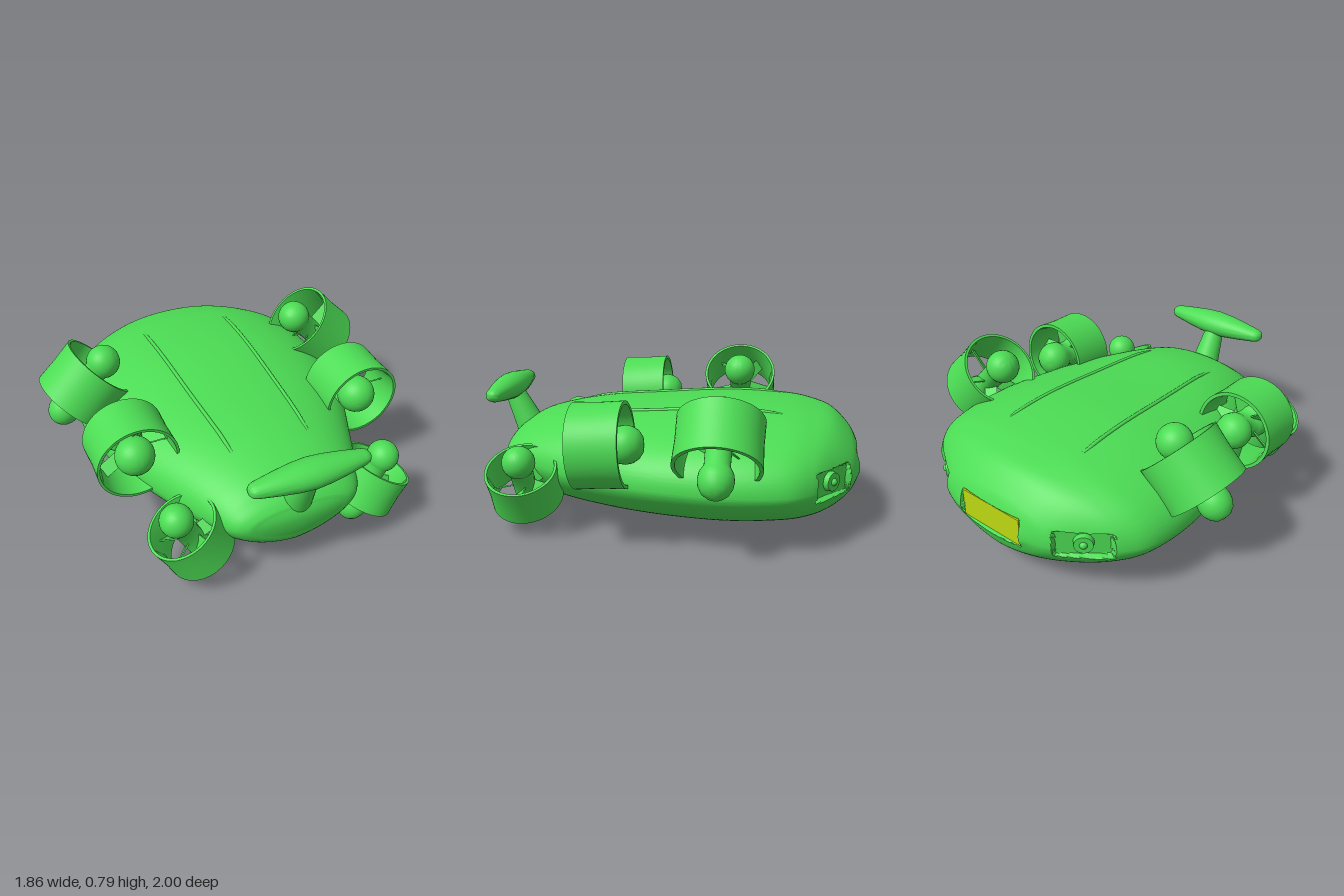
import * as THREE from 'three';
import { toCreasedNormals } from 'three/addons/utils/BufferGeometryUtils.js';

const V = (x, y, z) => new THREE.Vector3(x, y, z);
const clamp01 = (v) => Math.min(1, Math.max(0, v));
const green = new THREE.MeshStandardMaterial({ color: 0x4cdc54 });
const yellow = new THREE.MeshStandardMaterial({ color: 0xbcd810 });

// Hull stations, nose to tail: z, half width, top, bottom
const stations = [
  [0.868, 0.22, 0.4, 0.235], [0.855, 0.285, 0.425, 0.195], [0.81, 0.345, 0.465, 0.145],
  [0.7, 0.41, 0.525, 0.085], [0.45, 0.53, 0.58, 0.035], [0.1, 0.675, 0.605, 0.01],
  [-0.3, 0.74, 0.63, 0], [-0.6, 0.718, 0.62, 0.02], [-0.75, 0.635, 0.6, 0.04],
  [-0.86, 0.495, 0.565, 0.075], [-0.95, 0.355, 0.48, 0.15], [-0.99, 0.24, 0.41, 0.23],
  [-1, 0.2, 0.38, 0.26],
];
const curve = (pts) => new THREE.CatmullRomCurve3(pts, false, 'catmullrom', 0.5);
const heights = curve(stations.map(([z, , t, b]) => V(z, t, b)));
const widths = curve(stations.map(([z, w]) => V(z, w, 0)));
const UPPER = 2.15, LOWER = 1.67;
// Height of the widest line, rising a little at the nose
const midY = (z) => 0.31 + 0.025 * clamp01((z - 0.5) / 0.37);

// Height of the hull's upper surface
function deckY(x, z) {
  let lo = 0, hi = 1;
  for (let i = 0; i < 30; i++) {
    const u = (lo + hi) / 2;
    if (heights.getPoint(u).x > z) lo = u; else hi = u;
  }
  const k = Math.min(1, Math.abs(x) / widths.getPoint(lo).y), mid = midY(z);
  return mid + (heights.getPoint(lo).y - mid) * Math.pow(1 - Math.pow(k, UPPER), 1 / UPPER);
}

// Recesses in the hull: rear window, and a slanted lamp pocket on each rear corner
const NX = 0.633, NZ = -0.774, POCKET = 0.935;
function carve(p) {
  const s = Math.sign(p.x), ax = Math.abs(p.x);
  const inWindow = clamp01((0.083 - Math.abs(p.y - 0.33)) / 0.008) * clamp01((0.198 - ax) / 0.008);
  if (p.z < -0.972) p.z += inWindow * (-0.972 - p.z);
  const out = Math.max(0, ax * NX + p.z * NZ - POCKET);
  const along = ax * -NZ + p.z * NX + 0.175;
  const inPocket = clamp01((0.074 - Math.abs(p.y - 0.325)) / 0.008) * clamp01((0.142 - Math.abs(along)) / 0.008);
  p.x -= s * out * NX * inPocket;
  p.z -= out * NZ * inPocket;
}

function hullGeometry() {
  const rings = [], M = 180, N = 160;
  for (let i = 0; i < 10; i++) rings.push([0, Math.max(0.001, i / 10)]);
  for (let i = 0; i <= N; i++) rings.push([1 - Math.pow(1 - i / N, 1.4), 1]);
  for (let i = 9; i >= 0; i--) rings.push([1, Math.max(0.001, i / 10)]);
  const pos = [], index = [];
  rings.forEach(([u, s], i) => {
    const h = heights.getPoint(u), w = widths.getPoint(u).y, mid = midY(h.x);
    const bulge = u === 0 ? 0.016 * (1 - s * s) : 0;
    for (let j = 0; j < M; j++) {
      // Vertices gather towards the flanks
      const t = (j / M) * Math.PI * 2, a = t - 0.3 * Math.sin(2 * t);
      const c = Math.cos(a), n = Math.sin(a), e = 2 / (n > 0 ? UPPER : LOWER);
      const p = V(
        s * w * Math.sign(c) * Math.pow(Math.abs(c), e),
        mid + s * (n > 0 ? h.y - mid : mid - h.z) * Math.sign(n) * Math.pow(Math.abs(n), e),
        h.x + bulge);
      carve(p);
      pos.push(p.x, p.y, p.z);
      if (i < rings.length - 1) {
        const A = i * M + j, B = i * M + (j + 1) % M;
        index.push(A, A + M, B, B, A + M, B + M);
      }
    }
  });
  const g = new THREE.BufferGeometry();
  g.setAttribute('position', new THREE.Float32BufferAttribute(pos, 3));
  g.setIndex(index);
  return toCreasedNormals(g, 0.6);
}

function add(parent, name, geometry, material = green) {
  const mesh = new THREE.Mesh(geometry, material);
  mesh.name = name;
  parent.add(mesh);
  return mesh;
}

const lathe = (pts, seg = 48) =>
  toCreasedNormals(new THREE.LatheGeometry(pts.map(([r, y]) => new THREE.Vector2(r, y)), seg), 0.7);

// Ducted propeller, its axis along dir; head and tail are hub reaches from the duct's middle
function thruster(name, { r, length, hubR, head, tail }, at, dir) {
  const g = new THREE.Group(), h = length / 2;
  g.name = name;
  add(g, 'duct', lathe([
    [r - 0.018, -h], [r, -h], [r - 0.004, 0], [r, h], [r - 0.014, h], [r - 0.028, 0], [r - 0.018, -h],
  ], 56));
  // Motor hub: blunt swollen tail, slim neck, round head
  const t = hubR * 0.95;
  const hub = [
    [0, -tail], [t * 0.45, -tail + 0.008], [t * 0.75, -tail + 0.028], [t * 0.94, -tail + 0.06],
    [t, -tail + 0.09], [t * 0.94, -tail + 0.125], [t * 0.72, -tail + 0.16],
  ];
  for (let i = 4; i <= 16; i++) {
    const a = (i / 16) * Math.PI;
    hub.push([hubR * Math.sin(a), head - hubR * Math.cos(a)]);
  }
  add(g, 'hub', lathe(hub, 32));
  // Pitched blades
  const span = r - 0.025 - hubR * 0.5;
  for (let i = 0; i < 5; i++) {
    const arm = new THREE.Group();
    arm.rotation.y = (i / 5) * Math.PI * 2;
    const blade = add(arm, 'blade', new THREE.BoxGeometry(span, 0.007, 0.07));
    blade.position.x = hubR * 0.5 + span / 2;
    blade.rotation.x = 0.8;
    g.add(arm);
  }
  g.position.copy(at);
  g.quaternion.setFromUnitVectors(V(0, 1, 0), dir.normalize());
  return g;
}
const rearSize = { r: 0.21, length: 0.255, hubR: 0.09, head: 0.155, tail: 0.275 };
const middleSize = { r: 0.21, length: 0.25, hubR: 0.1, head: 0.06, tail: 0.21 };
const frontSize = { r: 0.183, length: 0.205, hubR: 0.083, head: 0.15, tail: 0.25 };

export function createModel() {
  const model = new THREE.Group();
  add(model, 'hull', hullGeometry());
  add(model, 'rearWindow', new THREE.BoxGeometry(0.38, 0.15, 0.012), yellow).position.set(0, 0.33, -0.976);

  // Sensor mast leaning forward, with a tapered crossbar
  const foot = V(0, 0.38, 0.79), head = V(0, 0.64, 0.91);
  const mast = add(model, 'mast', new THREE.CylinderGeometry(0.05, 0.085, foot.distanceTo(head), 32));
  mast.position.copy(foot).lerp(head, 0.5);
  mast.quaternion.setFromUnitVectors(V(0, 1, 0), head.clone().sub(foot).normalize());
  const half = [[0, 0.31], [0.022, 0.307], [0.036, 0.295], [0.044, 0.275], [0.064, 0.17], [0.078, 0.08], [0.084, 0]];
  const bar = add(model, 'crossbar', lathe(
    [...half.map(([r, y]) => [r, -y]), ...half.slice(0, -1).reverse()], 40));
  bar.rotation.z = Math.PI / 2;
  bar.scale.x = 0.83;
  bar.position.set(0, 0.65, 0.915);

  for (const s of [1, -1]) {
    const side = s > 0 ? 'left' : 'right';
    model.add(
      thruster(side + 'RearThruster', rearSize, V(0.69 * s, 0.555, -0.32), V(-0.7 * s, 0.7, 0)),
      thruster(side + 'MiddleThruster', middleSize, V(0.63 * s, 0.51, 0.25), V(0, -0.06, 1)),
      thruster(side + 'FrontThruster', frontSize, V(0.495 * s, 0.25, 0.69), V(0.48 * s, 0.88, 0)));

    // Thin rail on the deck
    const rail = [];
    for (let i = 0; i <= 10; i++) {
      const z = -0.6 + 1.13 * i / 10, x = 0.25 - 0.042 * (i / 10) ** 1.6;
      rail.push(V(x * s, deckY(x, z) + (i % 10 ? 0 : -0.008), z));
    }
    add(model, side + 'Rail', new THREE.TubeGeometry(new THREE.CatmullRomCurve3(rail), 60, 0.01, 10));

    // Lamp in the rear corner pocket
    const lamp = new THREE.Group();
    lamp.name = side + 'Lamp';
    add(lamp, 'lampBody', new THREE.CylinderGeometry(0.046, 0.05, 0.026, 32)).position.y = 0.012;
    const lens = add(lamp, 'lens', new THREE.SphereGeometry(0.02, 24, 16));
    lens.position.y = 0.02;
    lamp.position.set(0.46 * s, 0.33, -0.837);
    lamp.quaternion.setFromUnitVectors(V(0, 1, 0), V(NX * s, 0, NZ).normalize());
    model.add(lamp);
  }
  return model;
}
